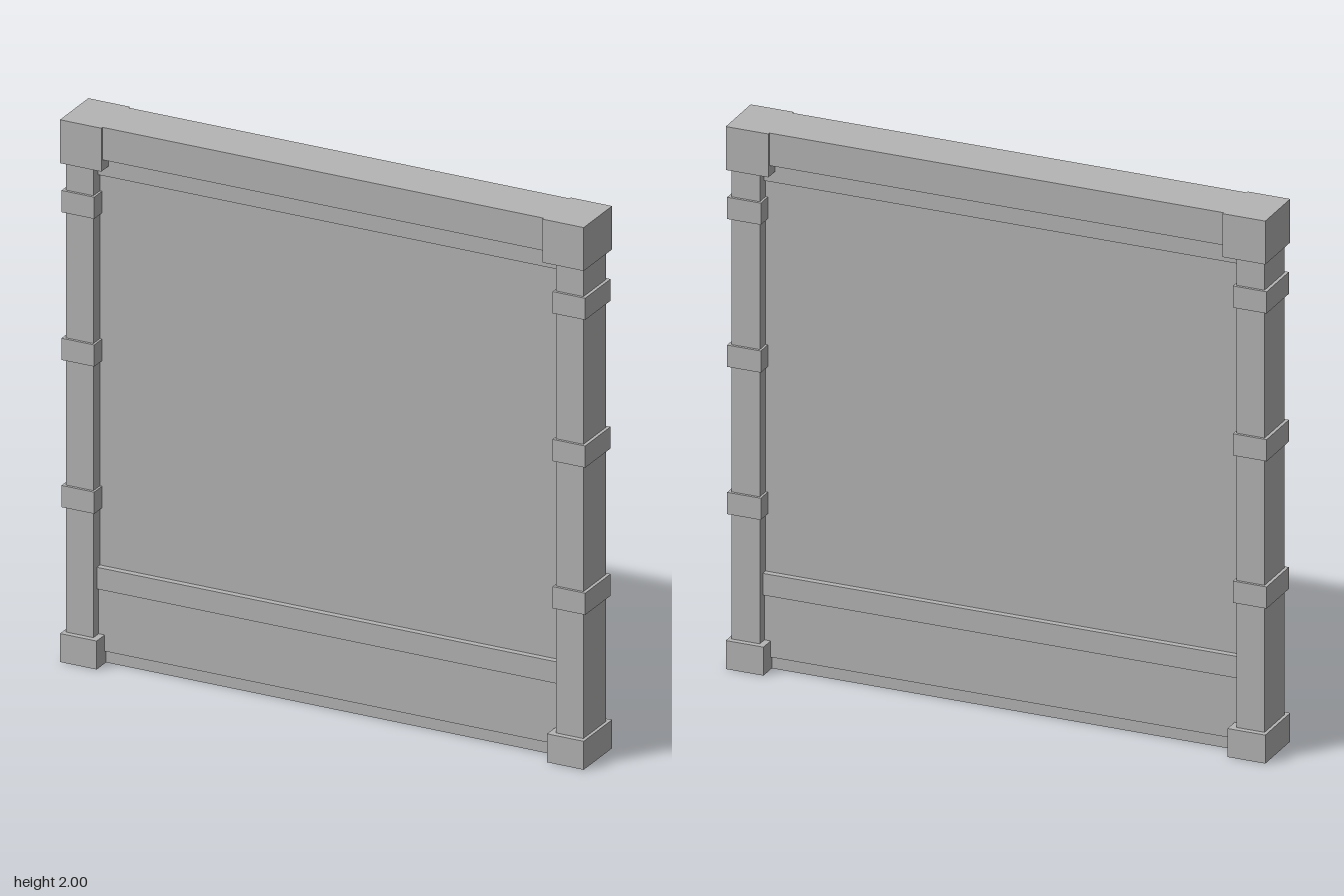
import * as THREE from 'three';

export function createModel() {
  const model = new THREE.Group();
  model.name = 'wallSection';
  const stone = new THREE.MeshStandardMaterial({ color: 0xb4b4b4 });
  stone.name = 'grey stone';

  // box given by its limits in x and y and its half depth in z
  function block(name, x0, x1, y0, y1, halfDepth, parent = model) {
    const mesh = new THREE.Mesh(new THREE.BoxGeometry(x1 - x0, y1 - y0, halfDepth * 2), stone);
    mesh.name = name;
    mesh.position.set((x0 + x1) / 2, (y0 + y1) / 2, 0);
    parent.add(mesh);
  }

  // wall panel with its horizontal mouldings, the same on front and back
  const inner = 0.89;
  const courses = [
    ['sill', 0, 0.045, 0.035],
    ['baseboard', 0.045, 0.275, 0.045],
    ['baseMoulding', 0.275, 0.355, 0.058],
    ['wallPanel', 0.355, 1.8, 0.035],
    ['topMoulding', 1.8, 1.88, 0.05],
  ];
  for (const [name, y0, y1, d] of courses) block(name, -inner, inner, y0, y1, d);
  block('topBeam', -0.85, 0.85, 1.88, 2, 0.095);

  // mirrored corner posts with foot, bands and cap
  for (const [side, s] of [['left', 1], ['right', -1]]) {
    const post = new THREE.Group();
    post.name = side + 'Post';
    const part = (name, a, b, y0, y1, d) =>
      block(name, Math.min(a * s, b * s), Math.max(a * s, b * s), y0, y1, d, post);
    part('shaft', 0.883, 0.988, 0.105, 1.84, 0.083);
    part('foot', 0.86, 1, 0, 0.105, 0.104);
    part('cap', 0.842, 1, 1.84, 2, 0.104);
    for (const y of [0.607, 1.15, 1.695]) part('band', 0.875, 1, y - 0.04, y + 0.04, 0.093);
    model.add(post);
  }
  return model;
}
